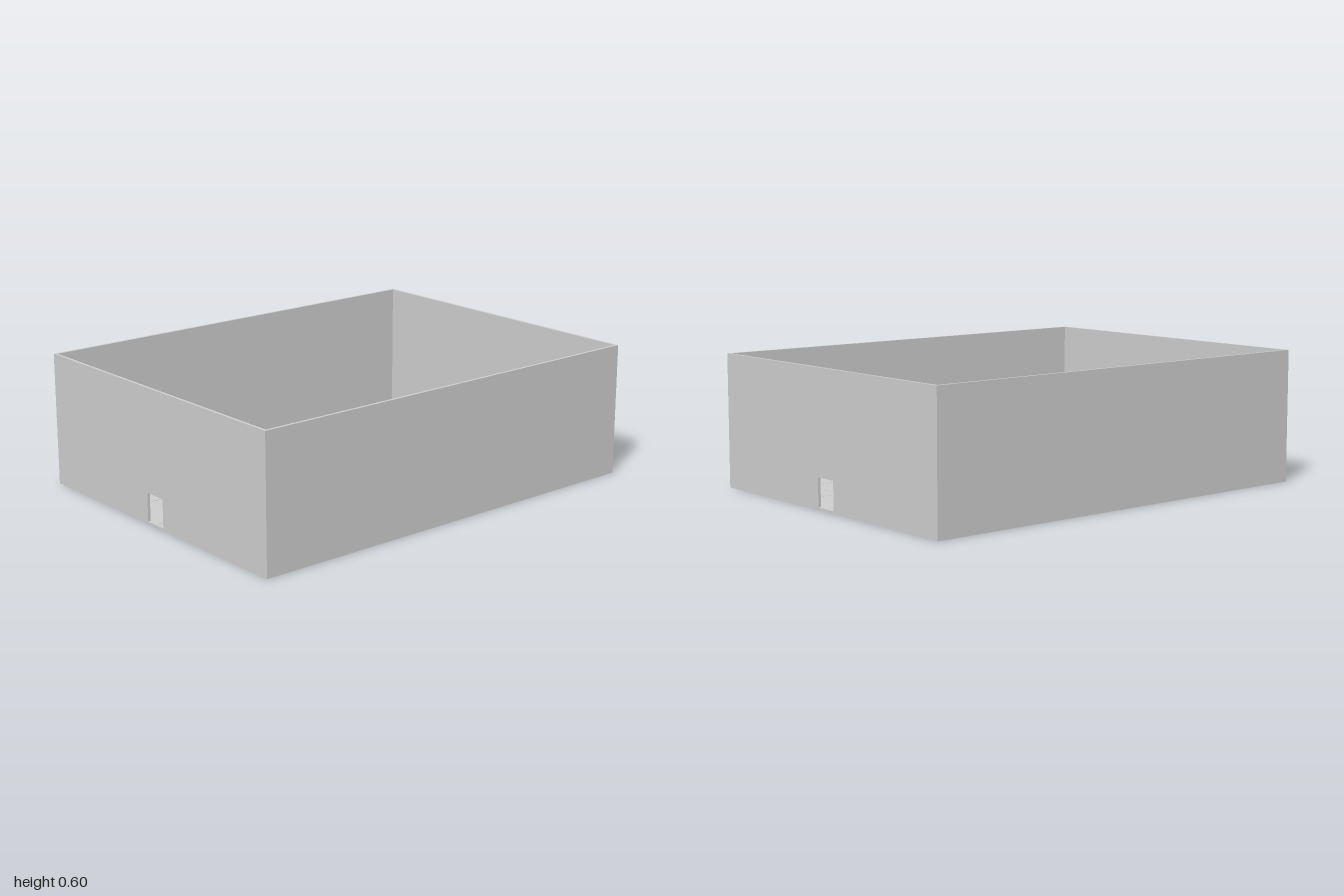
import * as THREE from 'three';

const W = 1.5, H = 0.6, D = 2, T = 0.0125; // outer size and wall thickness
const TILE = 0.25, GAP = 0.003, BASE = 0.01;

export function createModel() {
  const model = new THREE.Group();
  model.name = 'walledRoom';
  const grey = new THREE.MeshStandardMaterial({ color: 0xcccccc });
  grey.name = 'plain grey';

  const add = (name, geometry, x, y, z) => {
    const mesh = new THREE.Mesh(geometry, grey);
    mesh.name = name;
    mesh.position.set(x, y, z);
    model.add(mesh);
  };

  // Floor slab, inside the walls
  const innerW = W - 2 * T, innerD = D - 2 * T;
  add('floorSlab', new THREE.BoxGeometry(innerW, BASE, innerD), 0, BASE / 2, 0);

  // Floor tiles with thin grooves, trimmed where they meet the walls
  const span = (i, size) => {
    const a = Math.max(-size / 2 + i * TILE + GAP / 2, -size / 2 + T);
    const b = Math.min(-size / 2 + (i + 1) * TILE - GAP / 2, size / 2 - T);
    return [b - a, (a + b) / 2];
  };
  for (let i = 0; i < W / TILE; i++) {
    for (let j = 0; j < D / TILE; j++) {
      const [w, x] = span(i, W), [d, z] = span(j, D);
      add('floorTile', new THREE.BoxGeometry(w, T - BASE, d), x, (T + BASE) / 2, z);
    }
  }

  // Side walls
  for (const s of [-1, 1]) {
    add(s > 0 ? 'leftWall' : 'rightWall', new THREE.BoxGeometry(T, H, innerD), s * (W - T) / 2, H / 2, 0);
  }

  // Front and back walls, each with a doorway
  const rect = (Type, x, y0, y1) => new Type([[-x, y0], [x, y0], [x, y1], [-x, y1]].map(p => new THREE.Vector2(...p)));
  const wall = rect(THREE.Shape, W / 2, 0, H);
  wall.holes.push(rect(THREE.Path, 0.055, T, 0.14));
  const wallGeometry = new THREE.ExtrudeGeometry(wall, { depth: T, bevelEnabled: false });
  add('frontWall', wallGeometry, 0, 0, D / 2 - T);
  add('backWall', wallGeometry, 0, 0, -D / 2);

  return model;
}
